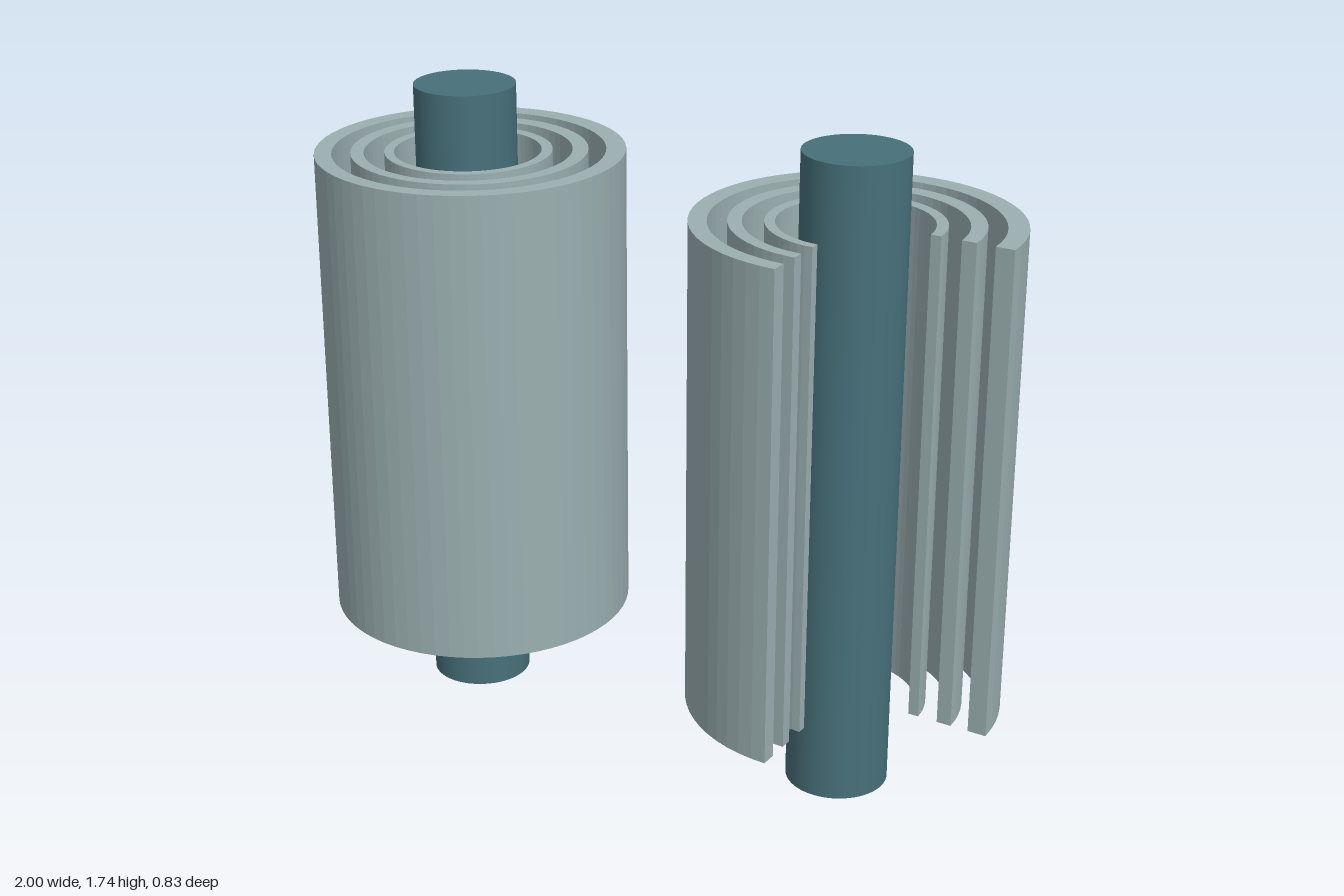
import * as THREE from 'three';

const rodMaterial = new THREE.MeshStandardMaterial({ color: 0x47707a });
const shellMaterial = new THREE.MeshStandardMaterial({ color: 0x9bafb1 });

const SPACING = 0.583;            // x distance of each assembly from the centre
const SHELL_BOTTOM = 0.23, SHELL_TOP = 1.55;
const ROD_HEIGHT = 1.735;

// outer and inner radius of each shell, with the forward shift of each circle
const SHELLS = [
  { name: 'outerShell', outer: 0.417, outerShift: 0, inner: 0.367, innerShift: 0.006 },
  { name: 'middleShell', outer: 0.318, outerShift: 0.004, inner: 0.279, innerShift: 0.01 },
  { name: 'innerShell', outer: 0.225, outerShift: 0.009, inner: 0.197, innerShift: 0.012 },
];

// points of a shifted circle, spaced by angle as seen from the origin
function arcPoints(radius, shift, sweep) {
  const count = Math.round(64 * sweep / (2 * Math.PI));
  const points = [];
  for (let i = 0; i <= count; i++) {
    const a = sweep * i / count;
    const d = -shift * Math.sin(a) + Math.sqrt(radius ** 2 - (shift * Math.cos(a)) ** 2);
    points.push(new THREE.Vector2(d * Math.cos(a), d * Math.sin(a)));
  }
  return points;
}

// one tubular shell, whole or with its front left quarter cut away
function makeShell({ name, outer, outerShift, inner, innerShift }, cutaway) {
  const sweep = cutaway ? 1.5 * Math.PI : 2 * Math.PI;
  const outside = arcPoints(outer, outerShift, sweep);
  const inside = arcPoints(inner, innerShift, sweep).reverse();
  let shape;
  if (cutaway) {
    shape = new THREE.Shape([...outside, ...inside]);
  } else {
    shape = new THREE.Shape(outside.slice(0, -1));
    shape.holes.push(new THREE.Path(inside.slice(0, -1)));
  }
  const geometry = new THREE.ExtrudeGeometry(shape, {
    depth: SHELL_TOP - SHELL_BOTTOM, bevelEnabled: false,
  });
  geometry.rotateX(-Math.PI / 2);
  const mesh = new THREE.Mesh(geometry, shellMaterial);
  mesh.name = name;
  mesh.position.y = SHELL_BOTTOM;
  return mesh;
}

// a central rod surrounded by three nested shells
function makeAssembly(name, x, cutaway) {
  const assembly = new THREE.Group();
  assembly.name = name;
  assembly.position.x = x;
  const rod = new THREE.Mesh(
    new THREE.CylinderGeometry(0.136, 0.136, ROD_HEIGHT, 64), rodMaterial);
  rod.name = 'rod';
  rod.position.set(0, ROD_HEIGHT / 2, 0.018);
  assembly.add(rod);
  for (const shell of SHELLS) assembly.add(makeShell(shell, cutaway));
  return assembly;
}

export function createModel() {
  const model = new THREE.Group();
  model.name = 'nestedCylinders';
  model.add(makeAssembly('wholeAssembly', -SPACING, false));
  model.add(makeAssembly('cutawayAssembly', SPACING, true));
  return model;
}
